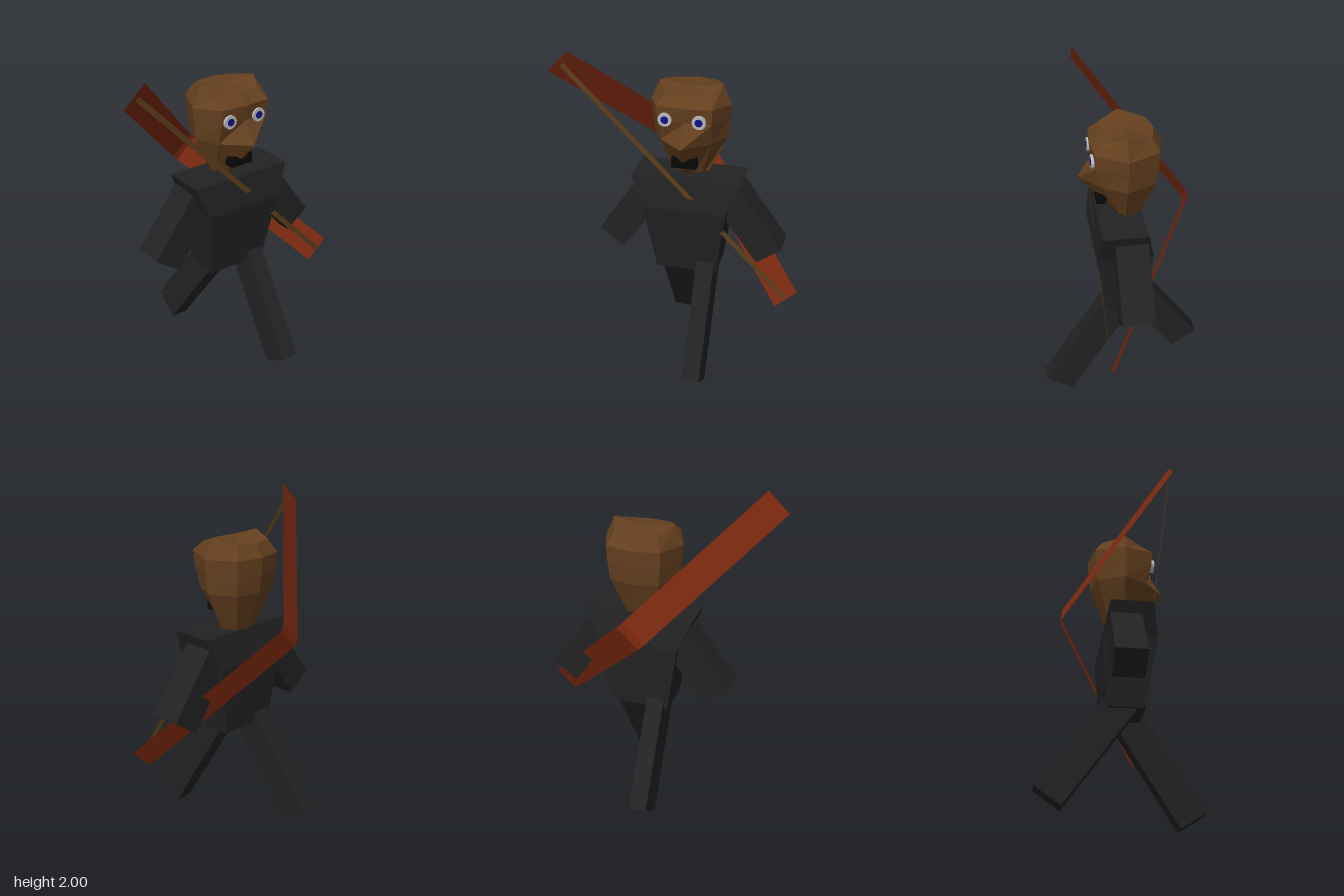
import * as THREE from 'three';

const mat = (color) => new THREE.MeshStandardMaterial({ color, flatShading: true, side: THREE.DoubleSide });
const CX = 0.045; // body centre line

// Skin rings of points (bottom to top, counter-clockwise from above) and cap both ends
function loft(rings) {
  const n = rings[0].length, pos = [];
  const mean = (r) => [0, 1, 2].map((k) => r.reduce((s, p) => s + p[k], 0) / n);
  const low = mean(rings[0]), top = rings[rings.length - 1], high = mean(top);
  for (let j = 0; j < n; j++) {
    const k = (j + 1) % n;
    for (let i = 0; i + 1 < rings.length; i++) {
      const [a, b, c, d] = [rings[i][j], rings[i][k], rings[i + 1][k], rings[i + 1][j]];
      pos.push(...a, ...b, ...c, ...a, ...c, ...d);
    }
    pos.push(...low, ...rings[0][k], ...rings[0][j], ...high, ...top[j], ...top[k]);
  }
  return fromPositions(pos);
}

function fromPositions(pos) {
  const g = new THREE.BufferGeometry();
  g.setAttribute('position', new THREE.Float32BufferAttribute(pos, 3));
  g.computeVertexNormals();
  return g;
}

// Flat ribbon along a path, spread by half-width vector (wx, wy)
function ribbon(path, wx, wy) {
  const pos = [];
  for (let i = 0; i + 1 < path.length; i++) {
    const side = ([x, y, z], s) => [x + s * wx, y + s * wy, z];
    const a = side(path[i], -1), b = side(path[i + 1], -1), c = side(path[i + 1], 1), d = side(path[i], 1);
    pos.push(...a, ...b, ...c, ...a, ...c, ...d);
  }
  return fromPositions(pos);
}

export function createModel() {
  const group = new THREE.Group();
  const cloth = mat(0x222222), skin = mat(0x65401f), wood = mat(0x7a2810);
  const add = (name, geometry, material) => {
    const m = new THREE.Mesh(geometry, material);
    m.name = name;
    group.add(m);
    return m;
  };
  // Box limb running from its lower end to its upper end
  const limb = (name, from, to, width, depth) => {
    const a = new THREE.Vector3(...from), b = new THREE.Vector3(...to);
    const m = add(name, new THREE.BoxGeometry(width, a.distanceTo(b), depth), cloth);
    m.position.copy(a).add(b).multiplyScalar(0.5);
    m.quaternion.setFromUnitVectors(new THREE.Vector3(0, 1, 0), b.sub(a).normalize());
  };

  // Torso: [y, half width, front z, back z]
  const torso = [[0.645, 0.185, 0.12, -0.11], [1.08, 0.25, 0.188, -0.145], [1.27, 0.327, 0.155, -0.105]];
  add('torso', loft(torso.map(([y, w, f, b]) => [
    [CX - w, y, f], [CX + w, y, f], [CX + w, y, b], [CX - w, y, b],
  ])), cloth);

  // Head: [side y, front y, back y, half width, front z, front corner z, back z]
  const head = [
    [1.22, 1.22, 1.22, 0.085, 0.02, 0.01, -0.09],
    [1.5, 1.5, 1.5, 0.218, 0.262, 0.13, -0.2],
    [1.62, 1.63, 1.6, 0.23, 0.178, 0.17, -0.215],
    [1.7, 1.72, 1.71, 0.237, 0.19, 0.175, -0.222],
    [1.815, 1.775, 1.785, 0.185, 0.14, 0.12, -0.175],
  ];
  add('head', loft(head.map(([y, yf, yb, w, f, fc, b]) => {
    const c = w * 0.68;
    return [
      [CX, yf, f], [CX + c, yf, fc], [CX + w, y, 0], [CX + c, yb, b * 0.84],
      [CX, yb, b], [CX - c, yb, b * 0.84], [CX - w, y, 0], [CX - c, yf, fc],
    ];
  })), skin);

  // Eyes and mouth
  for (const s of [-1, 1]) {
    const disc = (name, r, z, color) => {
      const g = new THREE.CylinderGeometry(r, r, 0.04, 20).rotateX(Math.PI / 2);
      add(name, g, mat(color)).position.set(0.034 + s * 0.098, 1.645, z);
    };
    disc('eyeWhite', 0.04, 0.17, 0xb8b8b8);
    disc('iris', 0.022, 0.173, 0x10108a);
  }
  add('mouth', new THREE.BoxGeometry(0.145, 0.062, 0.06), mat(0x080808)).position.set(0.038, 1.375, 0.13);

  // Arms
  for (const s of [-1, 1]) {
    limb(s > 0 ? 'leftArm' : 'rightArm', [0.053 + s * 0.493, 0.787, -0.01], [0.053 + s * 0.225, 1.155, -0.01], 0.186, 0.19);
  }

  // Striding legs
  limb('leftLeg', [0.167, 0.055, 0.435], [0.167, 0.733, 0.01], 0.108, 0.189);
  limb('rightLeg', [-0.093, 0.1, -0.433], [-0.06, 0.75, 0.03], 0.108, 0.189);

  // Bow slung across the back, with its string across the chest
  add('bow', ribbon([
    [-0.675, 1.94, 0.203], [-0.025, 1.285, -0.38], [0.005, 1.255, -0.385], [0.672, 0.545, 0.155],
  ], 0.064, 0.06), wood);
  add('bowString', ribbon([[-0.655, 1.92, 0.195], [0.668, 0.555, 0.158]], 0.011, 0.011), mat(0x5f3e1c));

  return group;
}
